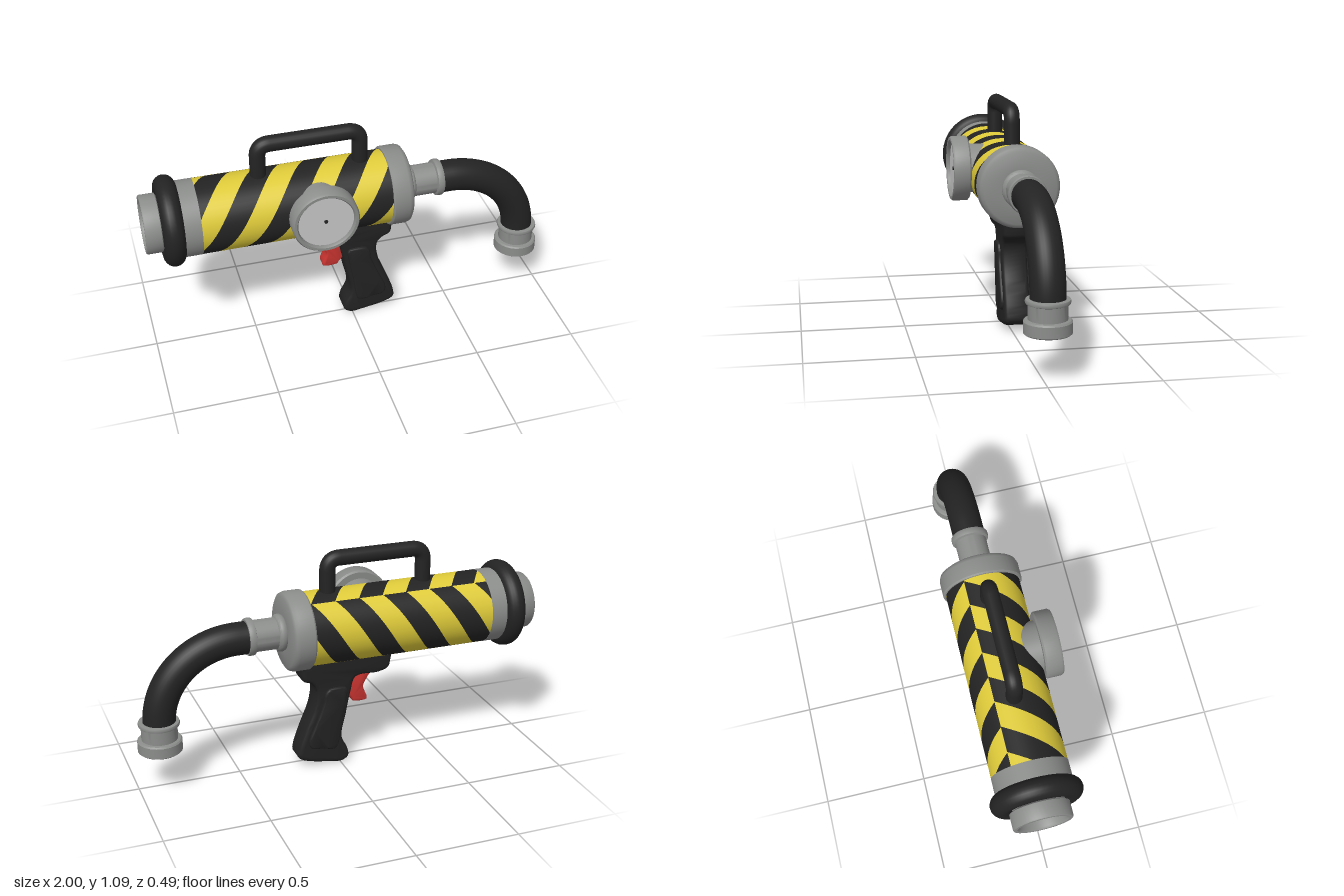
import * as THREE from 'three';
import { toCreasedNormals } from 'three/addons/utils/BufferGeometryUtils.js';

const mat = (name, color) => Object.assign(new THREE.MeshStandardMaterial({ color }), { name });
const AY = 0.715, AZ = -0.022; // main axis of the barrel

export function createModel() {
  const black = mat('black rubber', 0x232323);
  const grey = mat('grey metal', 0x8b8d8b);
  const yellow = mat('warning yellow', 0xe0cc3a);
  const red = mat('trigger red', 0xc93430);
  const pale = mat('dial white', 0xc8c8c8);
  const model = new THREE.Group();
  model.name = 'hoseGun';

  const add = (name, geo, material, x = 0, y = 0, z = 0) => {
    const m = new THREE.Mesh(geo, material);
    m.name = name;
    m.position.set(x, y, z);
    model.add(m);
    return m;
  };
  // profile: [radius, distance along axis] pairs
  const lathe = (profile) => toCreasedNormals(
    new THREE.LatheGeometry(profile.map(([r, h]) => new THREE.Vector2(r, h)), 48), 0.7);
  const alongX = (name, profile, material) =>
    add(name, lathe(profile).rotateZ(-Math.PI / 2), material, 0, AY, AZ);

  // Rear pipe, bumper ring and collar
  alongX('rearPipe', [[0, -0.9], [0.112, -0.9], [0.112, -0.99], [0.12, -1], [0.136, -1], [0.14, -0.995],
    [0.14, -0.925], [0.122, -0.915], [0.122, -0.84]], grey);
  add('bumperRing', new THREE.TorusGeometry(0.166, 0.051, 20, 56).rotateY(Math.PI / 2), black, -0.873, AY, AZ);
  alongX('rearCollar', [[0, -0.86], [0.17, -0.86], [0.181, -0.85], [0.181, -0.745], [0.17, -0.745]], grey);

  // Striped barrel: slanted ribbons, the back patch mirroring the front one
  const X0 = -0.75, X1 = 0.17, R = 0.18, PERIOD = 0.24, STEPS = 28;
  const shear = 0.37 / Math.PI;
  const ribbon = (start, end, a0, a1, mirror) => {
    const pos = [], nor = [], idx = [];
    for (let i = 0; i <= STEPS; i++) {
      const a = a0 + (a1 - a0) * i / STEPS;
      const rise = ((mirror ? Math.PI - a : a) + Math.PI / 2) * shear;
      for (const s of [start, end]) {
        pos.push(THREE.MathUtils.clamp(s + rise, X0, X1), R * Math.sin(a), R * Math.cos(a));
        nor.push(0, Math.sin(a), Math.cos(a));
      }
      const k = 2 * i;
      if (i < STEPS) idx.push(k, k + 1, k + 3, k, k + 3, k + 2);
    }
    const g = new THREE.BufferGeometry();
    g.setAttribute('position', new THREE.Float32BufferAttribute(pos, 3));
    g.setAttribute('normal', new THREE.Float32BufferAttribute(nor, 3));
    g.setIndex(idx);
    return g;
  };
  const seam = Math.PI * 2 / 3;
  for (let i = -3; i < 5; i++) {
    const s = -0.63 + i * PERIOD, mid = s + PERIOD / 2;
    for (const [side, a0, a1, mirror] of [['Front', -seam, seam, false], ['Back', seam, 2 * Math.PI - seam, true]]) {
      add('blackStripe' + side, ribbon(s, mid, a0, a1, mirror), black, 0, AY, AZ);
      add('yellowStripe' + side, ribbon(mid, s + PERIOD, a0, a1, mirror), yellow, 0, AY, AZ);
    }
  }

  // Front cap and neck
  alongX('frontCap', [[0.17, 0.165], [0.187, 0.165], [0.193, 0.172], [0.193, 0.245], [0.187, 0.262],
    [0.172, 0.271], [0.09, 0.275], [0, 0.275]], grey);
  alongX('neck', [[0.075, 0.26], [0.085, 0.275], [0.09, 0.285], [0.09, 0.3], [0.084, 0.308], [0.076, 0.312],
    [0.076, 0.42], [0.088, 0.424], [0.09, 0.432], [0.09, 0.448], [0.086, 0.456], [0.07, 0.456]], grey);

  // Curved hose
  const hosePath = new THREE.CurvePath();
  const v = (x, y, z = AZ) => new THREE.Vector3(x, y, z);
  hosePath.add(new THREE.LineCurve3(v(0.44, 0.713), v(0.5, 0.713)));
  hosePath.add(new THREE.CubicBezierCurve3(v(0.5, 0.713), v(0.715, 0.713), v(0.888, 0.555), v(0.888, 0.34)));
  add('hose', new THREE.TubeGeometry(hosePath, 64, 0.078, 32), black);

  // Nozzle at the hose end
  add('nozzle', lathe([[0, 0.203], [0.1, 0.203], [0.106, 0.208], [0.106, 0.258], [0.1, 0.265], [0.086, 0.267],
    [0.086, 0.332], [0.096, 0.336], [0.099, 0.345], [0.096, 0.354], [0.07, 0.356]]), grey, 0.89, 0, AZ);

  // Pressure gauge on the front side
  const GX = -0.185, GY = 0.745;
  const alongZ = (name, profile, material) =>
    add(name, lathe(profile).rotateX(Math.PI / 2), material, GX, GY, 0);
  alongZ('gaugeStem', [[0.12, 0.08], [0.12, 0.17]], grey);
  alongZ('gaugeCase', [[0, 0.16], [0.152, 0.16], [0.16, 0.168], [0.16, 0.236], [0.153, 0.246],
    [0.14, 0.246], [0.134, 0.238], [0.134, 0.22]], grey);
  alongZ('gaugeDial', [[0.135, 0.228], [0, 0.228]], pale);
  alongZ('gaugePin', [[0.009, 0.226], [0.009, 0.233], [0, 0.233]], black);

  // Carry handle
  const HL = -0.443, HR = 0.048, HT = 1.052, C = 0.06;
  const handlePath = new THREE.CurvePath();
  handlePath.add(new THREE.LineCurve3(v(HL, 0.86), v(HL, HT - C)));
  handlePath.add(new THREE.QuadraticBezierCurve3(v(HL, HT - C), v(HL, HT), v(HL + C, HT)));
  handlePath.add(new THREE.LineCurve3(v(HL + C, HT), v(HR - C, HT)));
  handlePath.add(new THREE.QuadraticBezierCurve3(v(HR - C, HT), v(HR, HT), v(HR, HT - C)));
  handlePath.add(new THREE.LineCurve3(v(HR, HT - C), v(HR, 0.86)));
  add('carryHandle', new THREE.TubeGeometry(handlePath, 120, 0.038, 20), black);

  // Rounded slabs cut from a smooth outline, centred on the barrel's middle plane
  const slab = (name, pts, width, bevel, material) => {
    const curve = new THREE.CatmullRomCurve3(pts.map(([x, y]) => v(x, y, 0)), true, 'centripetal');
    const outline = curve.getPoints(pts.length * 5).slice(0, -1);
    const geo = new THREE.ExtrudeGeometry(new THREE.Shape(outline.map(p => new THREE.Vector2(p.x, p.y))), {
      depth: width - 2 * bevel, bevelThickness: bevel, bevelSize: bevel, bevelOffset: -bevel, bevelSegments: 4,
    });
    geo.translate(0, 0, bevel - width / 2);
    return add(name, toCreasedNormals(geo, 0.7), material, 0, 0, AZ);
  };
  slab('grip', [[-0.26, 0.6], [-0.262, 0.51], [-0.25, 0.475], [-0.2, 0.457], [-0.08, 0.45], [-0.055, 0.38],
    [-0.03, 0.26], [-0.008, 0.14], [-0.04, 0.065], [-0.043, 0.025], [-0.01, 0.003], [0.05, 0.008], [0.19, 0.038],
    [0.218, 0.06], [0.215, 0.1], [0.18, 0.2], [0.133, 0.32], [0.125, 0.41], [0.15, 0.445], [0.19, 0.465],
    [0.2, 0.51], [0.2, 0.6]], 0.126, 0.022, black);
  slab('gripPanels', [[-0.028, 0.405], [0, 0.415], [0.06, 0.412], [0.082, 0.39], [0.09, 0.34], [0.125, 0.25],
    [0.168, 0.14], [0.155, 0.107], [0.1, 0.098], [0.035, 0.088], [0.018, 0.11], [0, 0.22], [-0.02, 0.33]],
    0.152, 0.01, black);

  // Trigger
  slab('trigger', [[-0.165, 0.46], [-0.15, 0.43], [-0.128, 0.385], [-0.148, 0.325], [-0.145, 0.312], [-0.075, 0.312],
    [-0.062, 0.33], [-0.04, 0.36], [-0.06, 0.47]], 0.07, 0.01, red);

  return model;
}
